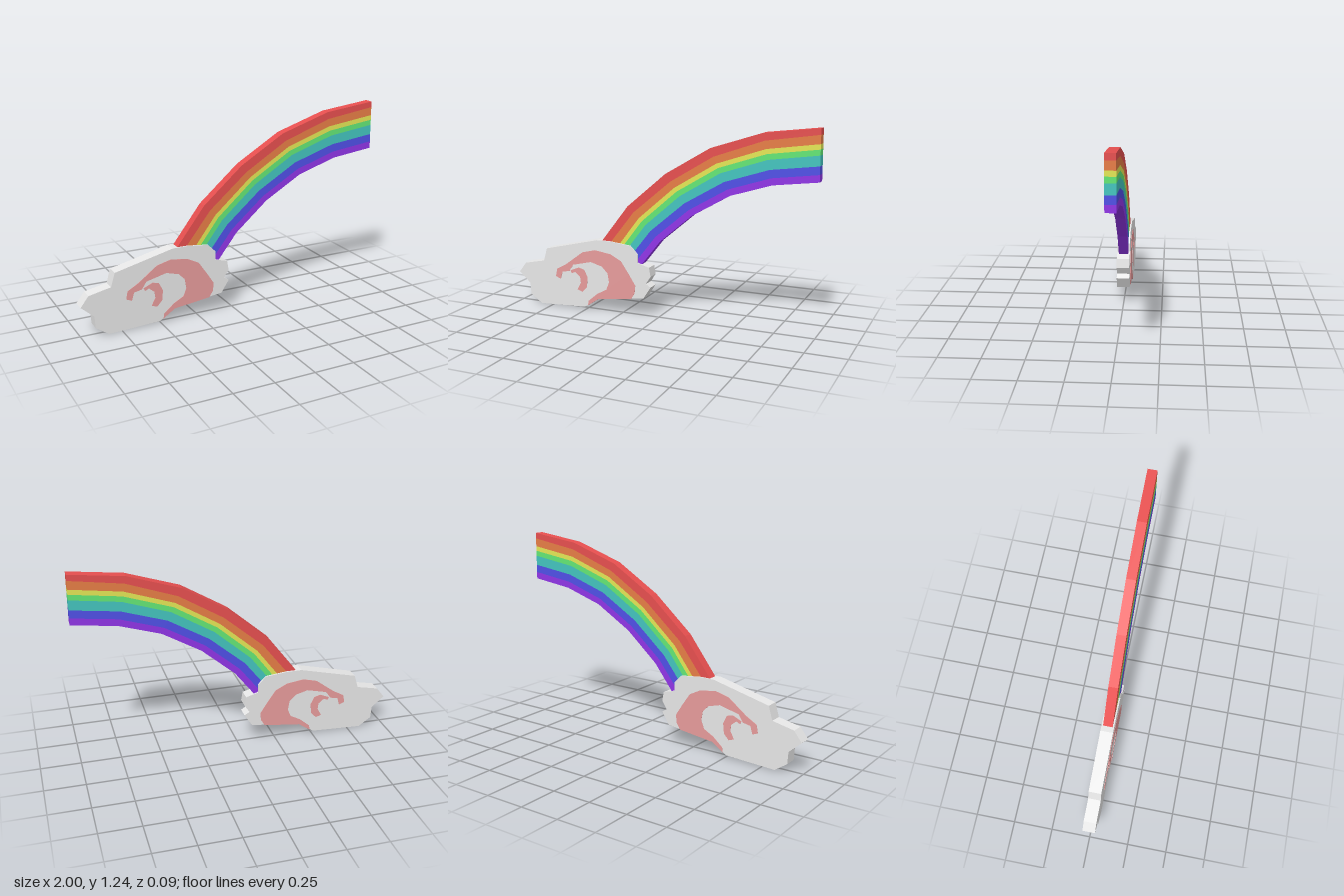
import * as THREE from 'three';

const material = (name, color) => {
  const m = new THREE.MeshStandardMaterial({ color });
  m.name = name;
  return m;
};

// Flat slab cut from an outline, centred on z = 0
function slab(name, outline, thickness, mat) {
  const shape = new THREE.Shape(outline.map(([x, y]) => new THREE.Vector2(x, y)));
  const geo = new THREE.ExtrudeGeometry(shape, { depth: thickness, bevelEnabled: false });
  geo.translate(0, 0, -thickness / 2);
  const mesh = new THREE.Mesh(geo, mat);
  mesh.name = name;
  return mesh;
}

// Rainbow edges, from the cloud to the cut end
const OUTER = [[-0.38, 0.47], [-0.2, 0.705], [0.055, 0.925], [0.34, 1.095], [0.665, 1.2], [0.998, 1.24]];
const INNER = [[-0.105, 0.34], [0.02, 0.5], [0.23, 0.68], [0.47, 0.82], [0.725, 0.9], [1, 0.935]];

// Band limits across the arch (0 outer, 1 inner) at its start, middle and end
const BANDS = [
  ['red', 0xfb5757, [0, 0, 0]],
  ['orange', 0xff8b4e, [0.17, 0.19, 0.12]],
  ['yellow', 0xf0f35a, [0.35, 0.33, 0.29]],
  ['green', 0x6dfb80, [0.44, 0.42, 0.39]],
  ['teal', 0x44c5bf, [0.55, 0.53, 0.5]],
  ['blue', 0x5454f1, [0.7, 0.71, 0.7]],
  ['purple', 0x9e3bfc, [0.86, 0.87, 0.86]],
];

// Line along the arch at the given limits
function archLine([start, middle, end]) {
  return OUTER.map(([x, y], i) => {
    const t = i / (OUTER.length - 1);
    const f = t < 0.5
      ? THREE.MathUtils.lerp(start, middle, t * 2)
      : THREE.MathUtils.lerp(middle, end, t * 2 - 1);
    return [x + (INNER[i][0] - x) * f, y + (INNER[i][1] - y) * f];
  });
}

const CLOUD = [
  [-1, 0.2], [-0.92, 0.13], [-0.915, 0.055], [-0.835, 0], [-0.51, 0.015], [-0.41, 0.083],
  [-0.09, 0.122], [-0.04, 0.2], [-0.072, 0.22], [-0.04, 0.27], [-0.05, 0.328], [-0.13, 0.35],
  [-0.13, 0.405], [-0.18, 0.455], [-0.32, 0.47], [-0.415, 0.47], [-0.62, 0.42], [-0.785, 0.38],
  [-0.81, 0.295], [-0.95, 0.265],
];

// Large swirl, wrapping under the cloud's lower edge
const SWIRL = [
  [-0.72, 0.2], [-0.71, 0.25], [-0.64, 0.29], [-0.58, 0.335], [-0.52, 0.38], [-0.43, 0.403],
  [-0.32, 0.388], [-0.245, 0.35], [-0.19, 0.27], [-0.145, 0.2], [-0.15, 0.15], [-0.175, 0.109],
  [-0.41, 0.08], [-0.485, 0.029], [-0.48, 0.06], [-0.415, 0.115], [-0.35, 0.15], [-0.33, 0.2],
  [-0.34, 0.26], [-0.38, 0.3], [-0.46, 0.322], [-0.53, 0.305], [-0.59, 0.29], [-0.62, 0.245],
  [-0.67, 0.235], [-0.685, 0.185],
];

// Small hook inside the swirl
const HOOK = [
  [-0.61, 0.25], [-0.55, 0.276], [-0.51, 0.265], [-0.485, 0.215], [-0.492, 0.15], [-0.525, 0.115],
  [-0.56, 0.128], [-0.535, 0.175], [-0.54, 0.215], [-0.575, 0.243], [-0.6, 0.232],
];

export function createModel() {
  const model = new THREE.Group();
  model.name = 'rainbowAndCloud';

  const rainbow = new THREE.Group();
  rainbow.name = 'rainbow';
  BANDS.forEach(([name, color, limits], i) => {
    const next = i + 1 < BANDS.length ? BANDS[i + 1][2] : [1, 1, 1];
    const outline = [...archLine(limits), ...archLine(next).reverse()];
    rainbow.add(slab(`${name}Band`, outline, 0.06, material(name, color)));
  });

  const cloud = new THREE.Group();
  cloud.name = 'cloud';
  const white = material('cloudWhite', 0xfdfdfd);
  const pink = material('cloudPink', 0xffacac);
  cloud.add(
    slab('cloudBody', CLOUD, 0.08, white),
    slab('swirl', SWIRL, 0.085, pink),
    slab('hook', HOOK, 0.085, pink),
  );

  model.add(rainbow, cloud);
  return model;
}
